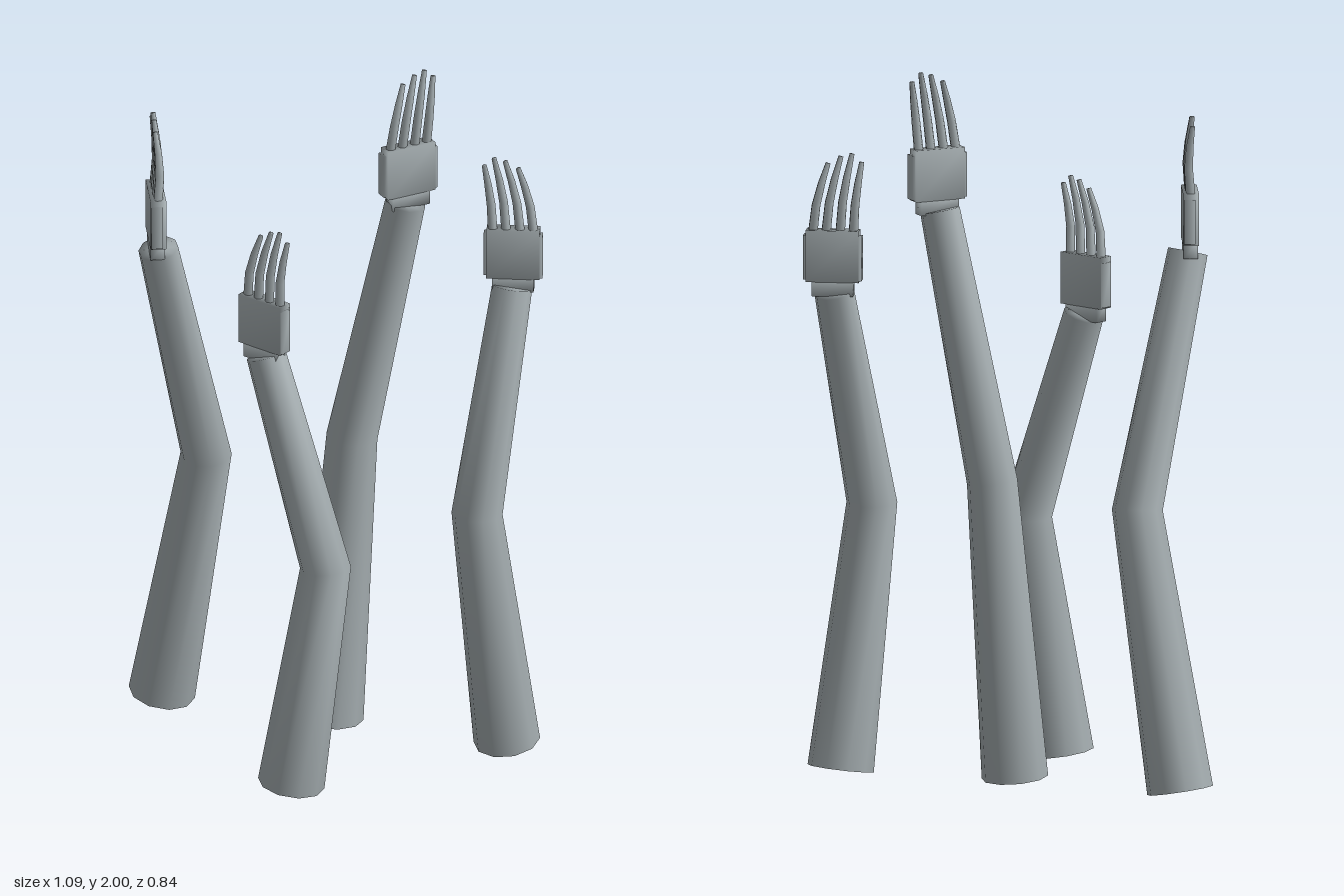
import * as THREE from 'three';
import { mergeVertices } from 'three/addons/utils/BufferGeometryUtils.js';

const skin = new THREE.MeshStandardMaterial({ color: 0xa9b2b5 });
skin.name = 'paleGrey';

const V = (p) => new THREE.Vector3(...p);
const UP = new THREE.Vector3(0, 1, 0);

// Weld all corners so shading runs smoothly over the edges
function weld(geometry) {
  geometry.deleteAttribute('normal');
  geometry.deleteAttribute('uv');
  const g = mergeVertices(geometry, 1e-5);
  g.computeVertexNormals();
  return g;
}

// Tapered limb: closed cylinder whose rings are moved onto a path
function limb(points, radii, sides) {
  const n = points.length - 1;
  const g = new THREE.CylinderGeometry(1, 1, n, sides, n);
  const turns = points.map((p, i) => {
    const dir = new THREE.Vector3();
    if (i > 0) dir.add(p.clone().sub(points[i - 1]).normalize());
    if (i < n) dir.add(points[i + 1].clone().sub(p).normalize());
    return new THREE.Quaternion().setFromUnitVectors(UP, dir.normalize());
  });
  const pos = g.attributes.position;
  const v = new THREE.Vector3();
  for (let k = 0; k < pos.count; k++) {
    v.fromBufferAttribute(pos, k);
    const i = Math.round(v.y + n / 2);
    v.y = 0;
    v.multiplyScalar(radii[i]).applyQuaternion(turns[i]).add(points[i]);
    pos.setXYZ(k, v.x, v.y, v.z);
  }
  return weld(g);
}

function add(parent, name, geometry, x = 0, y = 0, z = 0) {
  const mesh = new THREE.Mesh(geometry, skin);
  mesh.name = name;
  mesh.position.set(x, y, z);
  parent.add(mesh);
}

const box = (w, h, d) => weld(new THREE.BoxGeometry(w, h, d));

// Hand with its origin at the bottom centre of the palm
function makeHand() {
  const hand = new THREE.Group();
  hand.name = 'hand';
  add(hand, 'palm', box(0.148, 0.145, 0.044), 0, 0.0725, 0);
  add(hand, 'wristBlock', box(0.115, 0.05, 0.04), 0, -0.015, 0);
  // Thin pads along both edges of the palm
  for (const s of [-1, 1]) {
    add(hand, 'palmEdge', box(0.022, 0.125, 0.032), s * 0.071, 0.0675, s * 0.004);
  }
  // Fingers: base x, tip x, length
  const fingers = [
    [-0.056, -0.014, 0.187],
    [-0.019, 0.022, 0.207],
    [0.02, 0.053, 0.215],
    [0.057, 0.08, 0.192],
  ];
  for (const [x0, x1, len] of fingers) {
    const at = (t, bend, z) => V([x0 + (x1 - x0) * bend, 0.14 + (len + 0.005) * t, z]);
    const path = [at(0, 0, 0), at(0.38, 0.22, 0.006), at(0.7, 0.58, 0.003), at(1, 1, -0.004)];
    add(hand, 'finger', limb(path, [0.0135, 0.0125, 0.0105, 0.007], 7));
  }
  return hand;
}

// Arm paths, hand position and hand turn in degrees
const arms = [
  { base: [-0.43, 0.017, -0.33], elbow: [-0.33, 0.79, -0.22], wrist: [-0.495, 1.49, -0.097],
    hand: [-0.5, 1.52, -0.103], turn: 82 },
  { base: [-0.215, 0.014, 0.32], elbow: [-0.125, 0.68, 0.352], wrist: [-0.255, 1.27, 0.187],
    hand: [-0.26, 1.295, 0.183], turn: -52 },
  { base: [-0.015, 0.02, -0.06], elbow: [0.055, 0.86, -0.092], wrist: [0.183, 1.61, 0.01],
    hand: [0.19, 1.64, 0.013], turn: 15 },
  { base: [0.43, 0.015, 0.185], elbow: [0.33, 0.75, 0.25], wrist: [0.46, 1.37, 0.122],
    hand: [0.465, 1.4, 0.115], turn: 162 },
];

export function createModel() {
  const model = new THREE.Group();
  model.name = 'raisedArms';
  for (const a of arms) {
    const arm = new THREE.Group();
    arm.name = 'arm';
    add(arm, 'forearmAndUpperArm', limb([a.base, a.elbow, a.wrist].map(V), [0.093, 0.071, 0.056], 10));
    const hand = makeHand();
    hand.position.set(...a.hand);
    hand.rotation.y = THREE.MathUtils.degToRad(a.turn);
    arm.add(hand);
    model.add(arm);
  }
  return model;
}
